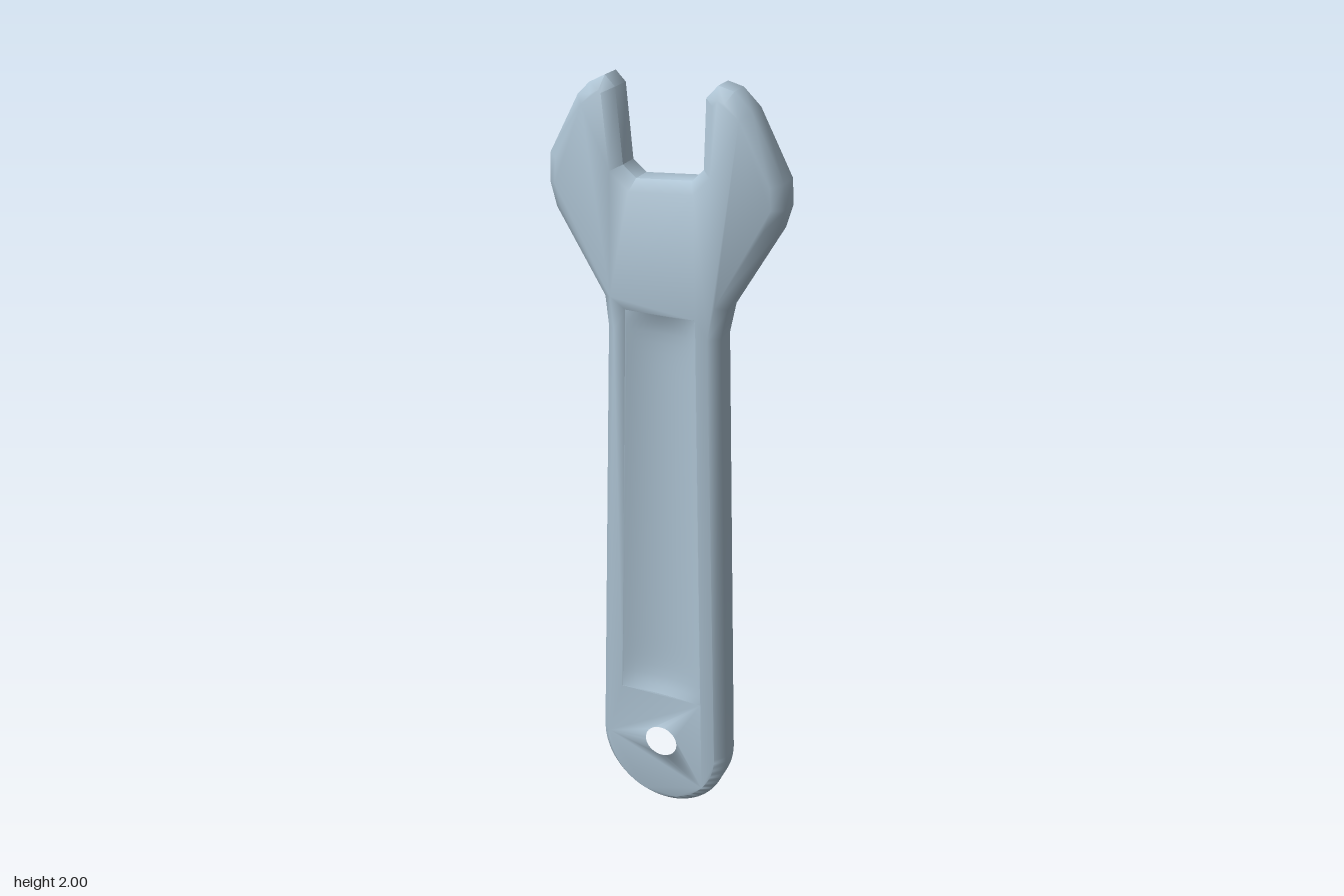
import * as THREE from 'three';
import { toCreasedNormals } from 'three/addons/utils/BufferGeometryUtils.js';

const HALF = 0.053;      // half thickness
const BEVEL = 0.025;     // chamfer on every edge
const GROOVE = { y0: 0.36, y1: 1.46, w0: 0.118, w1: 0.094, depth: 0.02 };

const points = (list) => list.map(([x, y]) => new THREE.Vector2(x, y));

// Outline: open jaw, tapering handle and round end
function bodyShape() {
  const shape = new THREE.Shape(points([
    [-0.183, 0.2], [-0.147, 1.4], [-0.155, 1.475], [-0.278, 1.68], [-0.294, 1.74],
    [-0.29, 1.81], [-0.215, 1.95], [-0.185, 1.98], [-0.145, 2.0], [-0.12, 1.975],
    [-0.103, 1.8], [-0.07, 1.772], [0.07, 1.782], [0.098, 1.81],
    [0.102, 1.97], [0.13, 2.0], [0.168, 1.99], [0.21, 1.95],
    [0.29, 1.8], [0.294, 1.74], [0.278, 1.685], [0.162, 1.485], [0.147, 1.41],
  ]));
  shape.absellipse(0, 0.195, 0.183, 0.195, 0, -Math.PI * 0.97, true);

  // Hanging hole
  const eye = new THREE.Path();
  eye.absarc(0, 0.21, 0.071, 0, Math.PI * 2, true);

  // Opening under the groove panels; its chamfer ends at their borders
  const { y0, y1, w0, w1 } = GROOVE;
  const m = BEVEL + 0.003;
  const slot = new THREE.Path(points([
    [-w0 + m, y0 + m], [w0 - m, y0 + m], [w1 - m, y1 - m], [-w1 + m, y1 - m],
  ]));
  shape.holes.push(eye, slot);
  return shape;
}

// Shallow dished panel that follows the taper of the handle
function grooveGeometry() {
  const { y0, y1, w0, w1, depth } = GROOVE;
  const geometry = new THREE.PlaneGeometry(2, 2, 12, 40);
  const pos = geometry.attributes.position;
  for (let i = 0; i < pos.count; i++) {
    const u = pos.getX(i), v = pos.getY(i), t = (v + 1) / 2;
    const dish = (1 - u * u) * (1 - Math.pow(v, 16));
    pos.setXYZ(i, u * THREE.MathUtils.lerp(w0, w1, t),
      THREE.MathUtils.lerp(y0, y1, t), HALF - 0.0003 - depth * dish);
  }
  geometry.computeVertexNormals();
  return geometry;
}

export function createModel() {
  const group = new THREE.Group();
  group.name = 'wrench';
  const steel = new THREE.MeshStandardMaterial({ color: 0xaec4d4 });
  steel.name = 'blue steel';

  // Jaw, handle and eye in one chamfered body
  const depth = 2 * (HALF - BEVEL);
  const bodyGeometry = new THREE.ExtrudeGeometry(bodyShape(), {
    depth, curveSegments: 20, bevelEnabled: true, bevelSegments: 1,
    bevelThickness: BEVEL, bevelSize: BEVEL, bevelOffset: -BEVEL,
  });
  bodyGeometry.translate(0, 0, -depth / 2);
  const body = new THREE.Mesh(toCreasedNormals(bodyGeometry, 0.9), steel);
  body.name = 'body';
  group.add(body);

  // Handle grooves, front and back
  const groove = grooveGeometry();
  for (const [name, turn] of [['frontGroove', 0], ['backGroove', Math.PI]]) {
    const panel = new THREE.Mesh(groove, steel);
    panel.name = name;
    panel.rotation.y = turn;
    group.add(panel);
  }
  return group;
}
